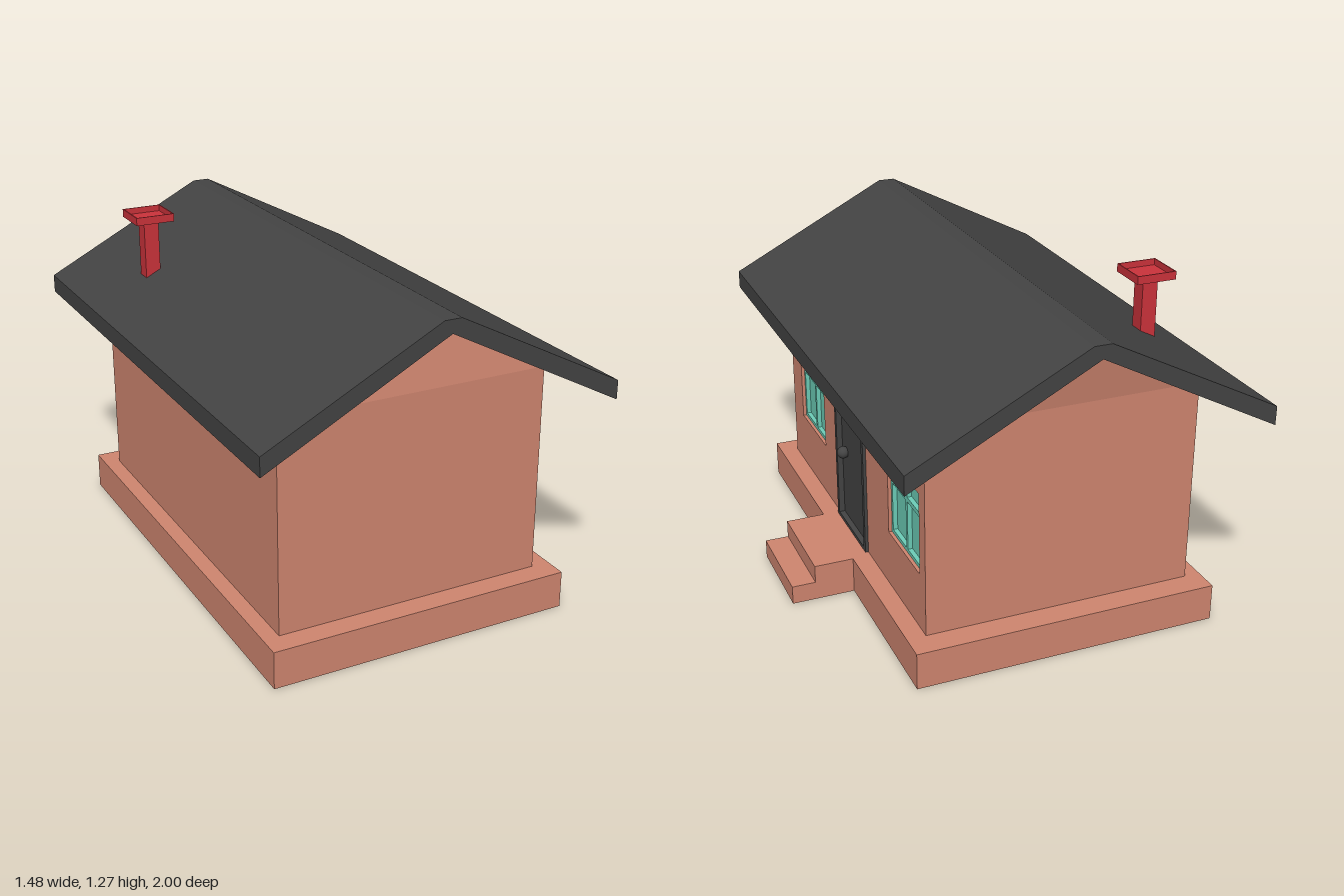
import * as THREE from 'three';

const material = (name, color) => new THREE.MeshStandardMaterial({ name, color, side: THREE.DoubleSide });

export function createModel() {
  const house = new THREE.Group();
  house.name = 'house';
  const clay = material('clay', 0xd08670);
  const charcoal = material('charcoal', 0x444444);
  const teal = material('teal', 0x6dcfb9);
  const red = material('red', 0xcc333b);

  const add = (name, geometry, mat, parent = house) => {
    const mesh = new THREE.Mesh(geometry, mat);
    mesh.name = name;
    parent.add(mesh);
    return mesh;
  };
  const box = (name, [x0, x1], [y0, y1], [z0, z1], mat, parent) => {
    const mesh = add(name, new THREE.BoxGeometry(x1 - x0, y1 - y0, z1 - z0), mat, parent);
    mesh.position.set((x0 + x1) / 2, (y0 + y1) / 2, (z0 + z1) / 2);
    return mesh;
  };
  // Convex polygons, corners anticlockwise from outside, cut into flat fans
  const faces = (polygons) => {
    const points = [];
    for (const p of polygons)
      for (let i = 1; i < p.length - 1; i++) points.push(...p[0], ...p[i], ...p[i + 1]);
    const g = new THREE.BufferGeometry();
    g.setAttribute('position', new THREE.Float32BufferAttribute(points, 3));
    g.computeVertexNormals();
    return g;
  };
  const rectangle = (target, u0, u1, y0, y1) =>
    target.moveTo(u0, y0).lineTo(u1, y0).lineTo(u1, y1).lineTo(u0, y1).closePath();
  // Upright panel with rectangular holes, facing +x; u runs along -z
  const panel = (outer, holes, x0, x1) => {
    const shape = rectangle(new THREE.Shape(), ...outer);
    for (const h of holes) shape.holes.push(rectangle(new THREE.Path(), ...h));
    return new THREE.ExtrudeGeometry(shape, { depth: x1 - x0, bevelEnabled: false })
      .rotateY(Math.PI / 2).translate(x0, 0, 0);
  };

  // Foundation: hollow skirt and ledge, open underneath
  const loop = (x0, x1, z0, z1, y) => [[x0, y, z1], [x1, y, z1], [x1, y, z0], [x0, y, z0]];
  const rings = [
    loop(-0.65, 0.5, -0.845, 0.885, 0),
    loop(-0.65, 0.5, -0.845, 0.885, 0.14),
    loop(-0.59, 0.43, -0.75, 0.8, 0.14),
  ];
  const skirt = [];
  for (let r = 0; r < 2; r++)
    for (let i = 0; i < 4; i++) {
      const j = (i + 1) % 4;
      skirt.push([rings[r][i], rings[r][j], rings[r + 1][j], rings[r + 1][i]]);
    }
  add('foundation', faces(skirt), clay);

  // Entrance steps
  box('upperStep', [0.44, 0.65], [0, 0.14], [-0.17, 0.2], clay);
  box('lowerStep', [0.65, 0.74], [0, 0.072], [-0.17, 0.2], clay);

  // Plain walls; the gable tips lean slightly towards the back
  const L = -0.59, R = 0.43, F = 0.8, B = -0.75, low = 0.14, eave = 0.92;
  const tip = (z) => [-0.075, 1.178, z - 0.04];
  add('frontWall', faces([[[L, low, F], [R, low, F], [R, eave, F], [L, eave, F]]]), clay);
  add('backWall', faces([[[R, low, B], [L, low, B], [L, eave, B], [R, eave, B]]]), clay);
  add('rightWall', faces([[[L, low, B], [L, low, F], [L, eave, F], [L, eave, B]]]), clay);
  add('frontGable', faces([[[L, eave, F], [R, eave, F], tip(F)]]), clay);
  add('backGable', faces([[[R, eave, B], [L, eave, B], tip(B)]]), clay);

  // Entrance wall with openings
  const windowCentres = [-0.52, 0.54];
  const half = 0.155, sill = 0.355, head = 0.665;
  const openings = windowCentres.map((c) => [c - half, c + half, sill, head]);
  openings.push([-0.18, 0.135, 0.15, 0.725]);
  add('entranceWall', panel([-F, -B, low, eave], openings, R - 0.03, R), clay);

  // Windows: four-light frame with panes set behind it
  windowCentres.forEach((c, i) => {
    const win = new THREE.Group();
    win.name = i ? 'backWindow' : 'frontWindow';
    house.add(win);
    const lights = [];
    for (const [u0, u1] of [[-0.142, -0.008], [0.008, 0.142]])
      for (const [y0, y1] of [[0.369, 0.557], [0.575, 0.651]]) lights.push([c + u0, c + u1, y0, y1]);
    add('windowFrame', panel([c - half, c + half, sill, head], lights, 0.398, 0.417), teal, win);
    add('windowPane', panel([c - half, c + half, sill, head], [], 0.394, 0.4), teal, win);
  });

  // Door with raised frame and round knob
  const door = new THREE.Group();
  door.name = 'door';
  house.add(door);
  add('doorFrame', panel([-0.19, 0.145, 0.141, 0.735], [[-0.17, 0.125, 0.155, 0.715]], 0.412, 0.442), charcoal, door);
  add('doorLeaf', panel([-0.18, 0.135, 0.15, 0.725], [], 0.405, 0.42), charcoal, door);
  add('doorKnob', new THREE.SphereGeometry(0.024, 16, 12), charcoal, door).position.set(0.434, 0.44, 0.12);

  // Pitched roof slab with a narrow flat ridge
  const profile = [[-0.74, 0.84], [-0.075, 1.187], [0.59, 0.84], [0.59, 0.91], [-0.042, 1.235], [-0.106, 1.235], [-0.74, 0.91]];
  const roofShape = new THREE.Shape(profile.map(([x, y]) => new THREE.Vector2(x, y)));
  add('roof', new THREE.ExtrudeGeometry(roofShape, { depth: 2, bevelEnabled: false }).translate(0, 0, -1), charcoal);

  // Chimney with a shallow open tray on top
  box('chimneyStack', [-0.53, -0.472], [0.985, 1.242], [-0.53, -0.47], red);
  box('chimneyTray', [-0.575, -0.425], [1.24, 1.247], [-0.575, -0.425], red);
  const rim = rectangle(new THREE.Shape(), -0.575, -0.425, 0.425, 0.575);
  rim.holes.push(rectangle(new THREE.Path(), -0.571, -0.429, 0.429, 0.571));
  add('chimneyRim', new THREE.ExtrudeGeometry(rim, { depth: 0.023, bevelEnabled: false })
    .rotateX(-Math.PI / 2).translate(0, 1.247, 0), red);

  return house;
}
